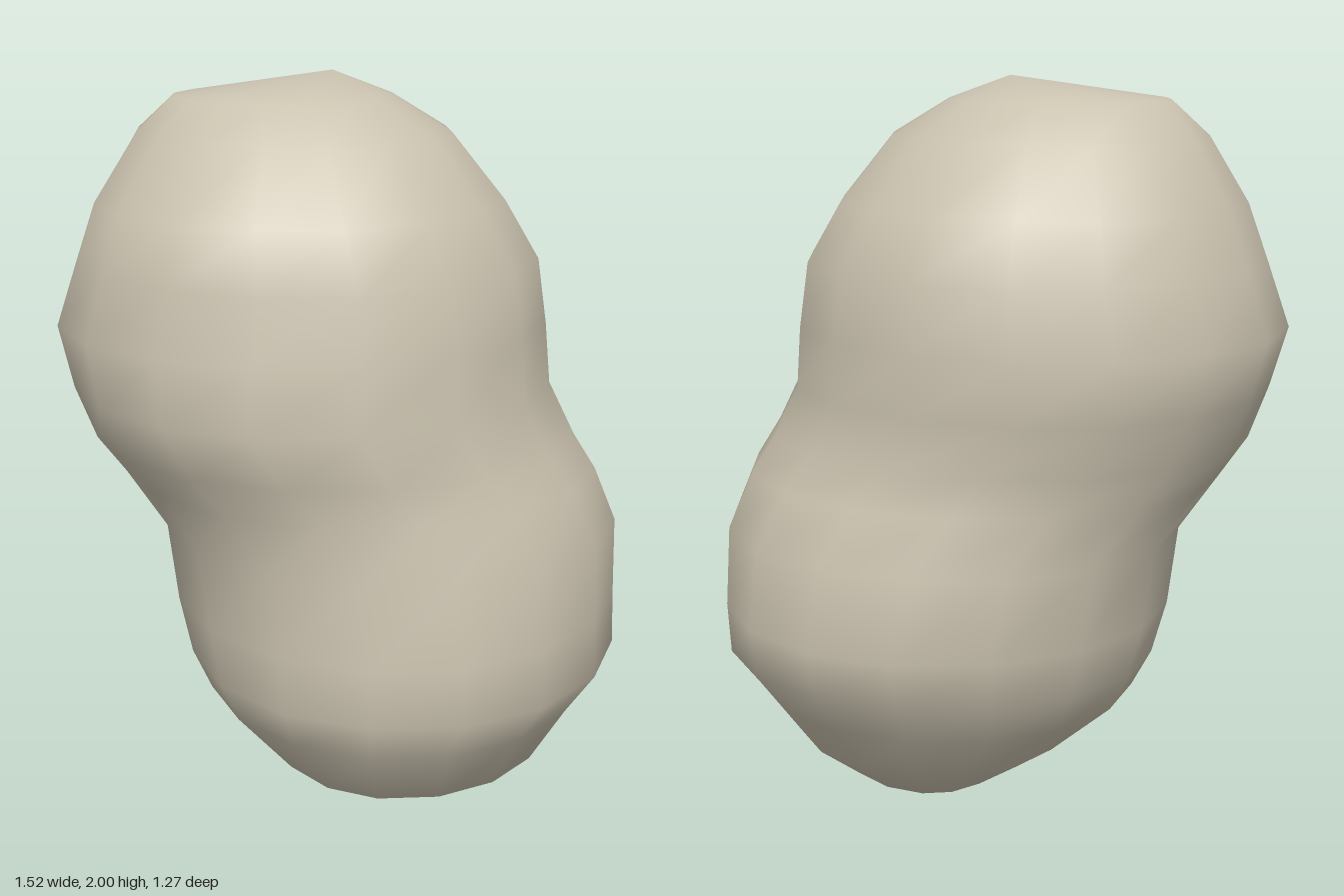
import * as THREE from 'three';

// Cross-sections from bottom to top: y, x min, x max, z min, z max, x of widest depth, z of widest width
const SECTIONS = [
  [0.09, -0.03, 0.44, -0.29, 0.27, 0.17, 0.0],
  [0.18, -0.19, 0.58, -0.38, 0.46, 0.17, 0.0],
  [0.34, -0.37, 0.68, -0.51, 0.55, 0.16, -0.02],
  [0.45, -0.425, 0.76, -0.57, 0.605, 0.17, -0.04],
  [0.60, -0.465, 0.755, -0.64, 0.595, 0.17, -0.05],
  [0.81, -0.49, 0.75, -0.60, 0.58, 0.13, -0.04],
  [0.96, -0.595, 0.69, -0.575, 0.57, 0.04, -0.02],
  [1.06, -0.665, 0.63, -0.56, 0.60, -0.04, 0.0],
  [1.20, -0.715, 0.56, -0.59, 0.635, -0.12, 0.0],
  [1.36, -0.76, 0.545, -0.605, 0.61, -0.12, 0.0],
  [1.53, -0.70, 0.52, -0.575, 0.585, -0.11, 0.0],
  [1.68, -0.645, 0.43, -0.53, 0.55, -0.12, 0.0],
  [1.85, -0.54, 0.29, -0.40, 0.37, -0.13, 0.0],
  [1.94, -0.44, 0.14, -0.27, 0.28, -0.15, 0.0],
];
const SIDES = 16;

// Closed skin over the sections, each a ring of four quarter ellipses
function loft(sections, bottom, top) {
  const points = [];
  const faces = [];
  for (const [y, x0, x1, z0, z1, cx, cz] of sections) {
    for (let j = 0; j < SIDES; j++) {
      const a = (j / SIDES) * Math.PI * 2;
      const c = Math.cos(a);
      const s = Math.sin(a);
      points.push(
        cx + c * (c > 0 ? x1 - cx : cx - x0),
        y,
        cz + s * (s > 0 ? z1 - cz : cz - z0)
      );
    }
  }
  const low = sections.length * SIDES;
  const high = low + 1;
  points.push(...bottom, ...top);

  const last = (sections.length - 1) * SIDES;
  for (let j = 0; j < SIDES; j++) {
    const k = (j + 1) % SIDES;
    for (let r = 0; r < last; r += SIDES) {
      faces.push(r + j, r + SIDES + j, r + k);
      faces.push(r + k, r + SIDES + j, r + SIDES + k);
    }
    faces.push(low, j, k);
    faces.push(high, last + k, last + j);
  }

  const geometry = new THREE.BufferGeometry();
  geometry.setAttribute('position', new THREE.Float32BufferAttribute(points, 3));
  geometry.setIndex(faces);
  geometry.computeVertexNormals();
  return geometry;
}

export function createModel() {
  const group = new THREE.Group();
  group.name = 'twoLobedRock';

  const stone = new THREE.MeshStandardMaterial({ color: 0xcbc3b0 });
  stone.name = 'pale stone';

  // Leaning body: lower lobe, waist and upper lobe in one skin
  const body = new THREE.Mesh(loft(SECTIONS, [0.14, 0, 0.08], [-0.03, 2, -0.05]), stone);
  body.name = 'rockBody';
  group.add(body);

  return group;
}
